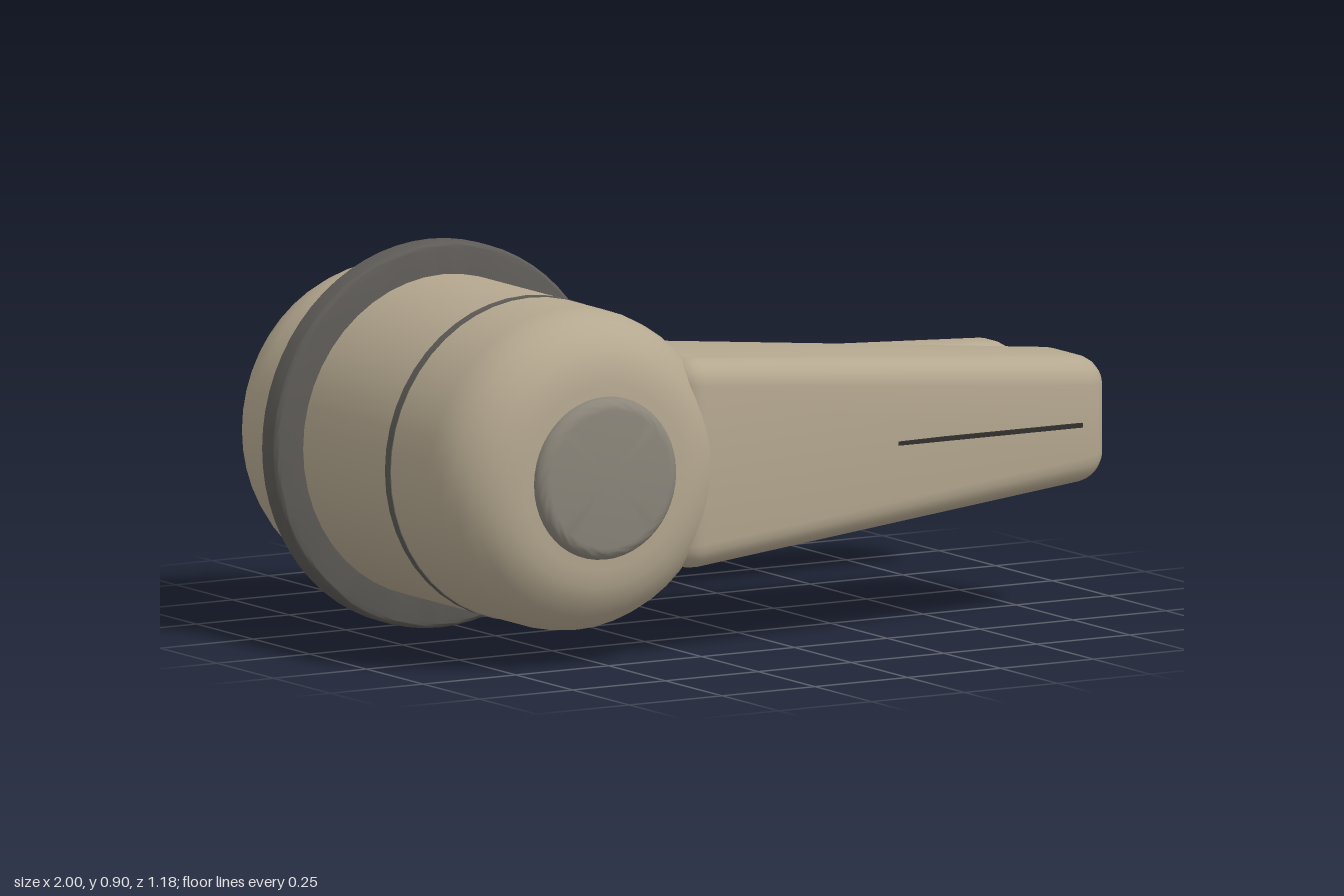
import * as THREE from 'three';
import { toCreasedNormals } from 'three/addons/utils/BufferGeometryUtils.js';
import { RoundedBoxGeometry } from 'three/addons/geometries/RoundedBoxGeometry.js';

const CX = -0.55, CY = 0.457; // axis of the drum

function mat(name, color) {
  const m = new THREE.MeshStandardMaterial({ color });
  m.name = name;
  return m;
}

// Turned solid along z; each point is [radius, z, rounding of that corner]
function turned(corners, segments = 48) {
  const pts = [];
  for (const [r, z, round = 0, dir = 1] of corners) {
    if (!round) { pts.push(new THREE.Vector2(r, z)); continue; }
    for (let i = 0; i <= 6; i++) {
      const a = (i / 6) * Math.PI / 2, t = dir < 0 ? a - Math.PI / 2 : a;
      pts.push(new THREE.Vector2(r - round + round * Math.cos(t), z - dir * round + round * Math.sin(t)));
    }
  }
  const geo = new THREE.LatheGeometry(pts, segments).rotateX(Math.PI / 2);
  return toCreasedNormals(geo, 0.6);
}

// Tapered arm along x with rounded edges, lofted from rounded rectangles
function armGeometry(x0, x1, base, tip, r0, r1) {
  const stations = [], N = 5;
  for (let i = 0; i <= N; i++) {
    const a = (i / N) * Math.PI / 2;
    stations.push([x0 + r0 * (1 - Math.sin(a)), r0 * (1 - Math.cos(a))]);
  }
  stations.reverse();
  stations.forEach((s, i) => { const a = (i / N) * Math.PI / 2; s[0] = x0 + r0 * (1 - Math.cos(a)); s[1] = r0 * (1 - Math.sin(a)); });
  for (let i = 0; i <= N; i++) {
    const a = (i / N) * Math.PI / 2;
    stations.push([x1 - r1 * (1 - Math.sin(a)), r1 * (1 - Math.cos(a))]);
  }
  const pos = [], idx = [], M = 4 * (N + 1);
  for (const [x, inset] of stations) {
    const t = (x - x0) / (x1 - x0);
    const hy = THREE.MathUtils.lerp(base[0], tip[0], t), hz = THREE.MathUtils.lerp(base[1], tip[1], t);
    const R = THREE.MathUtils.lerp(r0, r1, t), r = Math.max(R - inset, 0.002);
    for (let q = 0; q < 4; q++) for (let k = 0; k <= N; k++) {
      const a = (q + k / N) * Math.PI / 2;
      const sy = q === 0 || q === 3 ? 1 : -1, sz = q < 2 ? 1 : -1;
      pos.push(x, sy * (hy - R) + r * Math.cos(a), sz * (hz - R) + r * Math.sin(a));
    }
  }
  const S = stations.length;
  for (let i = 0; i < S - 1; i++) for (let j = 0; j < M; j++) {
    const a = i * M + j, b = i * M + (j + 1) % M;
    idx.push(a, b, b + M, a, b + M, a + M);
  }
  const c0 = pos.length / 3;
  pos.push(x0, 0, 0, x1, 0, 0);
  for (let j = 0; j < M; j++) {
    const k = (j + 1) % M, last = (S - 1) * M;
    idx.push(c0, k, j, c0 + 1, last + j, last + k);
  }
  const geo = new THREE.BufferGeometry();
  geo.setAttribute('position', new THREE.Float32BufferAttribute(pos, 3));
  geo.setIndex(idx);
  return toCreasedNormals(geo, 0.6);
}

export function createModel() {
  const model = new THREE.Group();
  model.name = 'twinArmDrum';
  const hull = mat('warm tan', 0xb5a890);
  const trim = mat('dark grey', 0x5e5b57);
  const capGrey = mat('mid grey', 0x8b857a);
  const black = mat('blue black', 0x1f1f2a);
  const slit = mat('charcoal', 0x33302e);

  const add = (name, geo, material, x = 0, y = 0, z = 0) => {
    const mesh = new THREE.Mesh(geo, material);
    mesh.name = name;
    mesh.position.set(x, y, z);
    model.add(mesh);
    return mesh;
  };

  // Drum with rounded shoulders, and its end caps
  add('drum', turned([[0, -0.537], [0.375, -0.537, 0.16, -1], [0.375, 0.563, 0.16], [0, 0.563]]), hull, CX, CY);
  add('frontCap', turned([[0, 0.5], [0.19, 0.5], [0.19, 0.59, 0.03], [0, 0.59]]), capGrey, CX, CY);
  add('backCap', turned([[0, -0.575], [0.185, -0.575, 0.03, -1], [0.185, -0.5], [0, -0.5]]), hull, CX, CY);

  // Large collar and narrow seam
  add('collar', turned([[0.3, -0.21], [0.45, -0.21], [0.45, -0.152, 0.016], [0.3, -0.152]], 64), trim, CX, CY);
  add('seam', turned([[0.35, 0.212], [0.377, 0.212], [0.377, 0.235], [0.35, 0.235]]), trim, CX, CY);

  // Arms, each with a thin slit strip on both flanks
  const arms = [
    { name: 'front', z: 0.332, x0: -0.32, x1: 0.885, base: [0.25, 0.207], tip: [0.142, 0.122], r: [0.06, 0.065], end: 0.78, off: 0.16 },
    { name: 'back', z: -0.213, x0: -0.24, x1: 0.997, base: [0.137, 0.113], tip: [0.085, 0.07], r: [0.035, 0.045], end: 0.87, off: 0.092 },
  ];
  for (const a of arms) {
    add(a.name + 'Arm', armGeometry(a.x0, a.x1, a.base, a.tip, ...a.r), hull, 0, CY, a.z);
    for (const s of [-1, 1]) {
      const len = a.end - 0.2;
      add(a.name + 'ArmSlit', new THREE.BoxGeometry(len, 0.01, 0.009), slit, 0.2 + len / 2, CY, a.z + s * a.off);
    }
  }

  // Slanted bracket at the root of the back arm
  const bracket = add('bracket', new RoundedBoxGeometry(0.13, 0.256, 0.05, 2, 0.012), trim, -0.18, CY, -0.128);
  bracket.rotation.y = -Math.PI / 4;

  // Dark disc and latch at the rear shoulder
  add('rearDisc', new THREE.CylinderGeometry(0.125, 0.125, 0.058, 32), black, -0.27, 0.43, -0.465);
  add('latchNeck', new THREE.BoxGeometry(0.14, 0.058, 0.096), black, -0.11, 0.43, -0.445);
  add('latchBlock', new THREE.BoxGeometry(0.052, 0.085, 0.1), black, -0.026, 0.4435, -0.445);

  return model;
}
